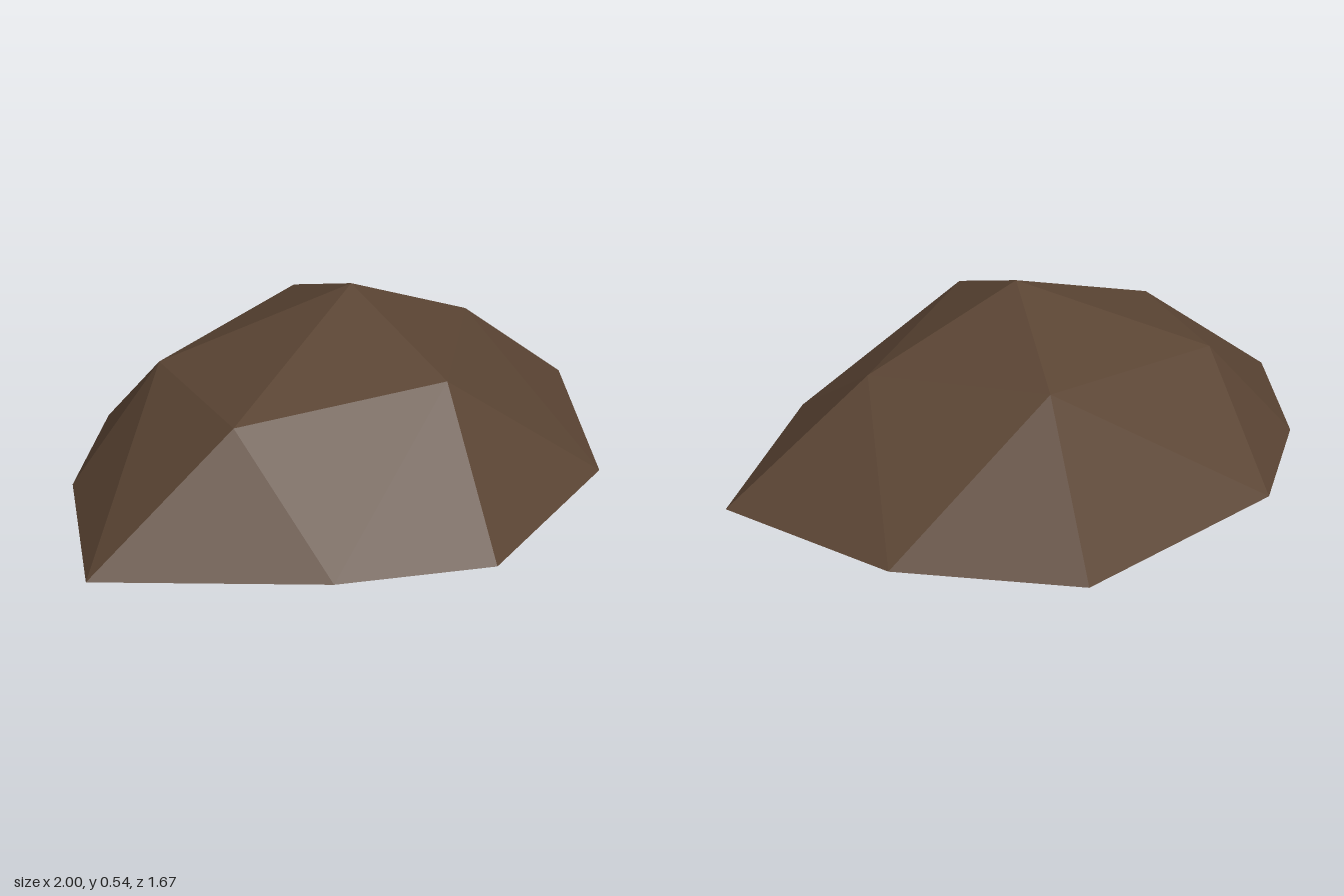
import * as THREE from 'three';

// Corners on the ground, counter-clockwise seen from above
const base = [
  [-1, 0, 0.19], [-0.5, 0, 0.62], [-0.1, 0, 0.83], [0.54, 0, 0.63], [1, 0, 0.04],
  [0.74, 0, -0.51], [0.32, 0, -0.84], [-0.4, 0, -0.65], [-0.74, 0, -0.31],
];
// Shoulder corners, same direction, and the peak
const ring = [
  [-0.54, 0.33, 0.24], [0.03, 0.39, 0.48], [0.56, 0.335, 0.01],
  [0.21, 0.37, -0.44], [-0.44, 0.33, -0.27],
];
const peak = [0.07, 0.54, 0.015];
// First ground corner that each shoulder corner fans out to
const fanStart = [0, 1, 3, 5, 7, 9];

function facets(triangles, name, material) {
  const geometry = new THREE.BufferGeometry();
  geometry.setAttribute('position', new THREE.Float32BufferAttribute(triangles.flat(2), 3));
  geometry.computeVertexNormals(); // unshared corners give flat facets
  const mesh = new THREE.Mesh(geometry, material);
  mesh.name = name;
  return mesh;
}

export function createModel() {
  const group = new THREE.Group();
  group.name = 'rockMound';
  const brown = new THREE.MeshStandardMaterial({ color: 0x5a4433 });
  brown.name = 'earth brown';

  const ground = (i) => base[i % base.length];
  const cap = [], slopes = [], underside = [];
  ring.forEach((p, k) => {
    const next = ring[(k + 1) % ring.length];
    cap.push([p, next, peak]);
    for (let i = fanStart[k]; i < fanStart[k + 1]; i++) slopes.push([ground(i), ground(i + 1), p]);
    slopes.push([p, ground(fanStart[k + 1]), next]);
  });
  for (let i = 1; i < base.length - 1; i++) underside.push([base[0], base[i + 1], base[i]]);

  group.add(
    facets(cap, 'moundCap', brown),
    facets(slopes, 'moundSlopes', brown),
    facets(underside, 'moundUnderside', brown),
  );
  return group;
}
